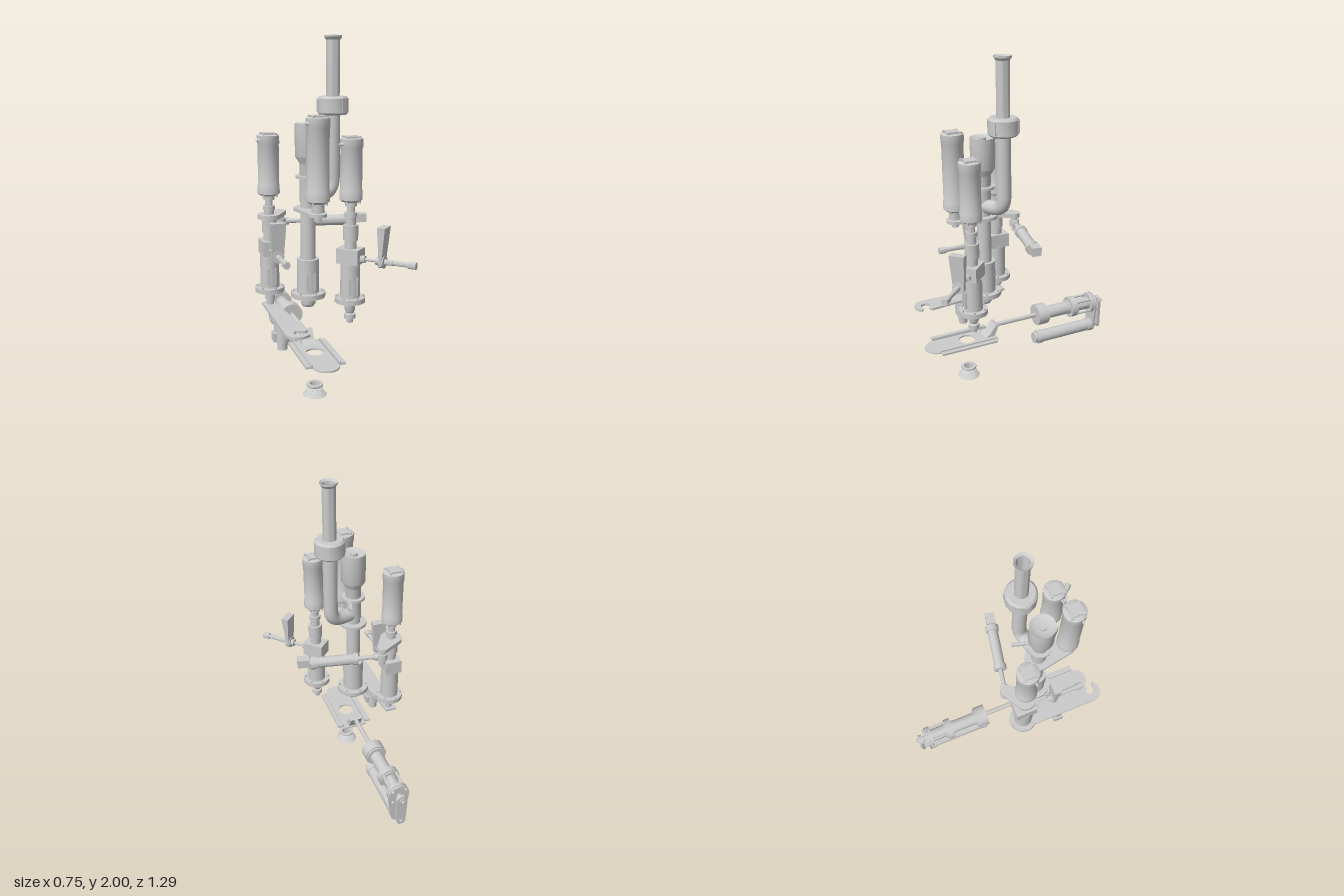
import * as THREE from 'three';
import { toCreasedNormals } from 'three/addons/utils/BufferGeometryUtils.js';

const mat = new THREE.MeshStandardMaterial({ color: 0xcccccc });
const thin = new THREE.MeshStandardMaterial({ color: 0xcccccc, side: THREE.DoubleSide });

function add(parent, name, geo, x = 0, y = 0, z = 0, m = mat) {
  const mesh = new THREE.Mesh(geo, m);
  mesh.name = name;
  mesh.position.set(x, y, z);
  parent.add(mesh);
  return mesh;
}

function group(parent, name, x = 0, y = 0, z = 0, turn = 0) {
  const g = new THREE.Group();
  g.name = name;
  g.position.set(x, y, z);
  g.rotation.y = turn;
  parent.add(g);
  return g;
}

// Turned solid from [radius, height] pairs
function turned(points, sides = 20) {
  const pts = points.map(([r, y]) => new THREE.Vector2(r, y));
  return toCreasedNormals(new THREE.LatheGeometry(pts, sides), 0.6);
}
// Closed stack of steps given as [radius, from, to]
function stack(steps, sides) {
  const pts = [[0, steps[0][1]]];
  for (const [r, a, b] of steps) pts.push([r, a], [r, b]);
  pts.push([0, steps[steps.length - 1][2]]);
  return turned(pts, sides);
}
// The same, lying along +z
const lying = (steps, sides) => stack(steps, sides).rotateX(Math.PI / 2);
const box = (w, h, d) => new THREE.BoxGeometry(w, h, d);

// Flat plate: shape drawn in x and z, lying at a height
function plate(shape, thickness) {
  const geo = new THREE.ExtrudeGeometry(shape, { depth: thickness, bevelEnabled: false, curveSegments: 12 });
  return geo.rotateX(Math.PI / 2);
}

// Outline around two circles on the second axis, r0 at 0 and r1 at length
function strap(r0, r1, length) {
  const s = new THREE.Shape();
  const a = Math.asin((r0 - r1) / length);
  s.absarc(0, length, r1, a, Math.PI - a, false);
  s.absarc(0, 0, r0, Math.PI - a, Math.PI * 2 + a, false);
  return s;
}

// Motor canister with end caps, tie bolts and a side connector
function motor(parent, name, bottom, top, r) {
  const g = group(parent, name);
  add(g, 'motorBody', turned([[0, bottom], [r * 0.75, bottom], [r, bottom + 0.012], [r, bottom + 0.06],
    [r * 0.95, bottom + 0.068], [r * 0.95, top - 0.068], [r, top - 0.06], [r, top - 0.014], [r * 0.88, top - 0.01], [0, top - 0.01]]));
  add(g, 'motorCap', box(r * 1.1, 0.02, r * 1.1), 0, top - 0.01, 0);
  for (let i = 0; i < 4; i++) {
    const a = (i + 0.5) * Math.PI / 2;
    const x = Math.cos(a) * r * 0.8, z = Math.sin(a) * r * 0.8;
    add(g, 'capBolt', new THREE.CylinderGeometry(0.008, 0.008, 0.02, 8), x, top - 0.01, z);
    add(g, 'footBolt', new THREE.CylinderGeometry(0.008, 0.008, 0.02, 8), x, bottom + 0.004, z);
  }
  const port = add(g, 'sideConnector', new THREE.ConeGeometry(0.018, 0.04, 8), -r, top - 0.04, 0.02);
  port.rotation.z = Math.PI / 2;
}

// Lower barrel with flange, bolts and raised ribs
function barrel(parent, r, flange) {
  const g = group(parent, 'lowerBarrel');
  add(g, 'barrelBody', stack([[flange, 0.547, 0.575], [r, 0.575, 0.77]], 24));
  for (let i = 0; i < 6; i++) {
    const a = i * Math.PI / 3 + 0.3;
    add(g, 'flangeBolt', new THREE.CylinderGeometry(0.007, 0.007, 0.016, 6),
      Math.cos(a) * flange * 0.86, 0.578, Math.sin(a) * flange * 0.86);
  }
  for (const s of [-1, 1]) add(g, 'barrelRib', box(0.012, 0.1, 0.014), s * 0.02, 0.645, r - 0.004);
}

// Small side actuator with a valve block and a tapered flag
function sideActuator(parent, turn) {
  const g = group(parent, 'sideActuator', 0, 0.8, 0, turn);
  add(g, 'valveBlock', box(0.1, 0.085, 0.13), 0, 0.012, 0);
  add(g, 'actuatorRod', lying([[0.02, 0.06, 0.09], [0.009, 0.09, 0.155], [0.022, 0.155, 0.175], [0.016, 0.175, 0.255],
    [0.014, 0.255, 0.34], [0.02, 0.34, 0.383]], 12));
  const flag = box(0.088, 0.215, 0.045);
  const p = flag.attributes.position;
  for (let i = 0; i < p.count; i++) if (p.getY(i) < 0) p.setXYZ(i, p.getX(i) * 0.75, p.getY(i), p.getZ(i) * 0.3 - 0.006);
  flag.computeVertexNormals();
  add(g, 'taperedFlag', flag, 0, 0.085, 0.195);
  add(g, 'flagHub', lying([[0.035, 0.175, 0.205]], 16));
}

// Motor, coupling, barrel and side actuator in one column
function sideColumn(root, name, x, z, turn) {
  const g = group(root, name, x, 0, z);
  motor(g, 'columnMotor', 1.115, 1.47, 0.063);
  add(g, 'coupling', stack([[0.034, 0.77, 0.9], [0.042, 0.9, 0.985], [0.028, 0.985, 1.03], [0.034, 1.03, 1.055],
    [0.022, 1.055, 1.09], [0.032, 1.09, 1.12]], 16));
  barrel(g, 0.055, 0.085);
  sideActuator(g, turn);
  return g;
}

export function createModel() {
  const root = new THREE.Group();
  root.name = 'dispensingMachine';

  // Right column carrying the swing arm
  const arm = sideColumn(root, 'swingArmColumn', -0.285, 0.04, 0);
  add(arm, 'armSpindle', stack([[0.022, 0.45, 0.5], [0.03, 0.5, 0.548]], 16));
  const hook = new THREE.Shape();
  hook.moveTo(-0.04, -0.04);
  hook.lineTo(0.03, -0.04);
  hook.lineTo(0.085, 0.47);
  hook.lineTo(0.07, 0.484);
  hook.lineTo(0.02, 0.47);
  hook.quadraticCurveTo(-0.005, 0.495, 0.012, 0.52);
  hook.quadraticCurveTo(0.03, 0.53, 0.06, 0.522);
  hook.lineTo(0.082, 0.535);
  hook.quadraticCurveTo(0.04, 0.572, -0.01, 0.555);
  hook.quadraticCurveTo(-0.04, 0.54, -0.043, 0.49);
  add(arm, 'hookArm', plate(hook, 0.014), 0, 0.467, 0);
  add(arm, 'gripper', stack([[0.028, 0.28, 0.325], [0.036, 0.325, 0.345], [0.046, 0.345, 0.452]], 16), 0.008, 0, 0.245);
  for (const s of [-1, 1]) add(arm, 'gripperJaw', box(0.018, 0.05, 0.06), 0.008 + s * 0.047, 0.36, 0.245);

  // Crank and piston that swing the arm
  const crank = group(root, 'crankPiston', -0.195, 0.94, -0.045, Math.PI / 2 - 0.2);
  add(crank, 'crankPin', stack([[0.018, -0.05, -0.02], [0.03, -0.02, 0.02], [0.02, 0.02, 0.06]], 14));
  add(crank, 'pistonBody', lying([[0.012, 0, 0.03], [0.022, 0.03, 0.05], [0.013, 0.05, 0.15], [0.038, 0.15, 0.18],
    [0.032, 0.18, 0.4], [0.04, 0.4, 0.435], [0.022, 0.435, 0.45]], 18));
  add(crank, 'pistonEnd', box(0.055, 0.05, 0.07), 0, 0.012, 0.475);
  const crankArm = add(root, 'crankArm', plate(strap(0.065, 0.032, 0.125), 0.025), -0.285, 1.005, 0.04);
  crankArm.rotation.y = Math.PI - Math.atan2(0.09, 0.085);

  // Left column ending in a nozzle
  const nozzle = sideColumn(root, 'nozzleColumn', 0.095, 0.36, Math.PI / 4);
  add(nozzle, 'nozzleTip', turned([[0, 0.425], [0.018, 0.425], [0.02, 0.445], [0.032, 0.45], [0.032, 0.475],
    [0.02, 0.48], [0.03, 0.5], [0.03, 0.548], [0, 0.548]], 16));

  // Central column
  const mid = group(root, 'centralColumn', -0.1, 0, 0.2);
  barrel(mid, 0.063, 0.098);
  add(mid, 'centralTip', turned([[0, 0.49], [0.032, 0.49], [0.042, 0.505], [0.042, 0.548], [0, 0.548]]));
  add(mid, 'centralShaft', stack([[0.042, 0.77, 1.1]]));
  add(mid, 'centralReservoir', turned([[0, 1.09], [0.046, 1.09], [0.046, 1.31], [0.072, 1.35], [0.072, 1.53],
    [0.045, 1.515], [0.022, 1.515], [0.022, 1.53], [0, 1.53]], 24));
  add(mid, 'supportDisc', stack([[0.07, 1.23, 1.245]]));
  add(mid, 'supportTab', box(0.02, 0.02, 0.14), 0.05, 1.238, -0.075).rotation.y = -0.3;
  add(mid, 'bridgePlate', plate(strap(0.08, 0.05, 0.18), 0.018), 0, 1.065, 0);
  add(mid, 'bridgeStud', stack([[0.02, 1.02, 1.07], [0.035, 1.07, 1.12]], 14), 0, 0, 0.18);

  // Front motor
  motor(group(root, 'frontMotorMount', -0.1, 0, 0.38), 'frontMotor', 1.12, 1.585, 0.065);

  // Feed pipe with elbow, clamp and open flared top
  const pipe = group(root, 'feedPipe', 0.063, 0, 0.143);
  const path = new THREE.CurvePath();
  path.add(new THREE.LineCurve3(new THREE.Vector3(0, 1.6, 0), new THREE.Vector3(0, 1.22, 0)));
  path.add(new THREE.CubicBezierCurve3(new THREE.Vector3(0, 1.22, 0), new THREE.Vector3(0, 1.14, 0),
    new THREE.Vector3(-0.04, 1.125, 0.014), new THREE.Vector3(-0.15, 1.125, 0.053)));
  add(pipe, 'elbowPipe', new THREE.TubeGeometry(path, 40, 0.042, 18, false), 0, 0, 0, thin);
  add(pipe, 'upperPipe', turned([[0.038, 1.62], [0.038, 1.975], [0.049, 1.99], [0.049, 2], [0.036, 1.99], [0.033, 1.96], [0.033, 1.62]], 24), 0, 0, 0, thin);
  add(pipe, 'pipeClamp', turned([[0.04, 1.57], [0.076, 1.57], [0.087, 1.58], [0.087, 1.66], [0.076, 1.672], [0.04, 1.672]], 14));
  for (let i = 0; i < 3; i++) {
    const a = i * Math.PI * 2 / 3 + 0.5;
    const lug = add(pipe, 'clampLug', box(0.03, 0.07, 0.02), Math.sin(a) * 0.08, 1.62, Math.cos(a) * 0.08);
    lug.rotation.y = a;
  }

  // Sliding gate: tongue with a hole, side frame and rails
  const gate = group(root, 'slidingGate', -0.1, 0, 0);
  const tongue = new THREE.Shape();
  tongue.moveTo(-0.075, 0.15);
  tongue.lineTo(0.075, 0.15);
  tongue.lineTo(0.075, 0.525);
  tongue.absarc(0, 0.525, 0.075, 0, Math.PI, false);
  tongue.holes.push(new THREE.Path().absarc(0, 0.33, 0.05, 0, Math.PI * 2, true));
  add(gate, 'gateTongue', plate(tongue, 0.009), 0, 0.257, 0);
  for (const s of [-1, 1]) {
    add(gate, 'gateRail', box(0.04, 0.012, 0.36), s * 0.093, 0.258, 0.35);
    add(gate, 'railLip', box(0.012, 0.01, 0.36), s * 0.08, 0.267, 0.35);
  }
  const wedge = new THREE.Shape([[0.22, 0.257], [0.19, 0.275], [0.15, 0.33], [0.13, 0.325], [0.16, 0.257]]
    .map(([z, y]) => new THREE.Vector2(-z, y)));
  add(gate, 'rodBracket', new THREE.ExtrudeGeometry(wedge, { depth: 0.08, bevelEnabled: false })
    .rotateY(Math.PI / 2), -0.04, 0, 0);

  // Gate drive: rod and flanged body above, motor below, belt link behind
  add(gate, 'gateDrive', lying([[0.01, -0.645, -0.63], [0.02, -0.63, -0.6], [0.016, -0.6, -0.575], [0.062, -0.575, -0.565],
    [0.04, -0.565, -0.555], [0.066, -0.555, -0.535], [0.04, -0.535, -0.44], [0.058, -0.44, -0.43], [0.067, -0.43, -0.39],
    [0.045, -0.39, -0.375], [0.041, -0.375, -0.225], [0.06, -0.225, -0.215], [0.068, -0.215, -0.145], [0.014, -0.145, 0.15]], 24), 0, 0.312, 0);
  for (const sx of [-1, 1]) for (const sy of [-1, 1])
    add(gate, 'tieRod', lying([[0.008, -0.59, -0.43]], 8), sx * 0.04, 0.312 + sy * 0.04, 0);
  add(gate, 'driveMotor', lying([[0.043, -0.565, -0.53], [0.039, -0.53, -0.19], [0.043, -0.19, -0.155], [0.034, -0.155, -0.135]]), 0, 0.145, 0);
  const mount = add(gate, 'mountPlate', plate(strap(0.067, 0.044, 0.167), 0.012), 0, 0.312, -0.56);
  mount.rotation.x = Math.PI / 2;
  const link = add(gate, 'beltLink', plate(strap(0.034, 0.028, 0.167), 0.02), 0, 0.312, -0.603);
  link.rotation.x = Math.PI / 2;
  add(gate, 'lowerPulley', lying([[0.012, -0.635, -0.625], [0.018, -0.625, -0.56]], 14), 0, 0.145, 0);

  // Bellows suction cup on the ground
  add(root, 'bellowsCup', turned([[0.068, 0], [0.06, 0.008], [0.034, 0.014], [0.048, 0.022], [0.034, 0.03],
    [0.048, 0.038], [0.034, 0.046], [0.048, 0.056], [0.048, 0.065], [0.028, 0.065], [0.026, 0.012], [0.062, 0]], 24), -0.1, 0, 0.325, thin);

  return root;
}
